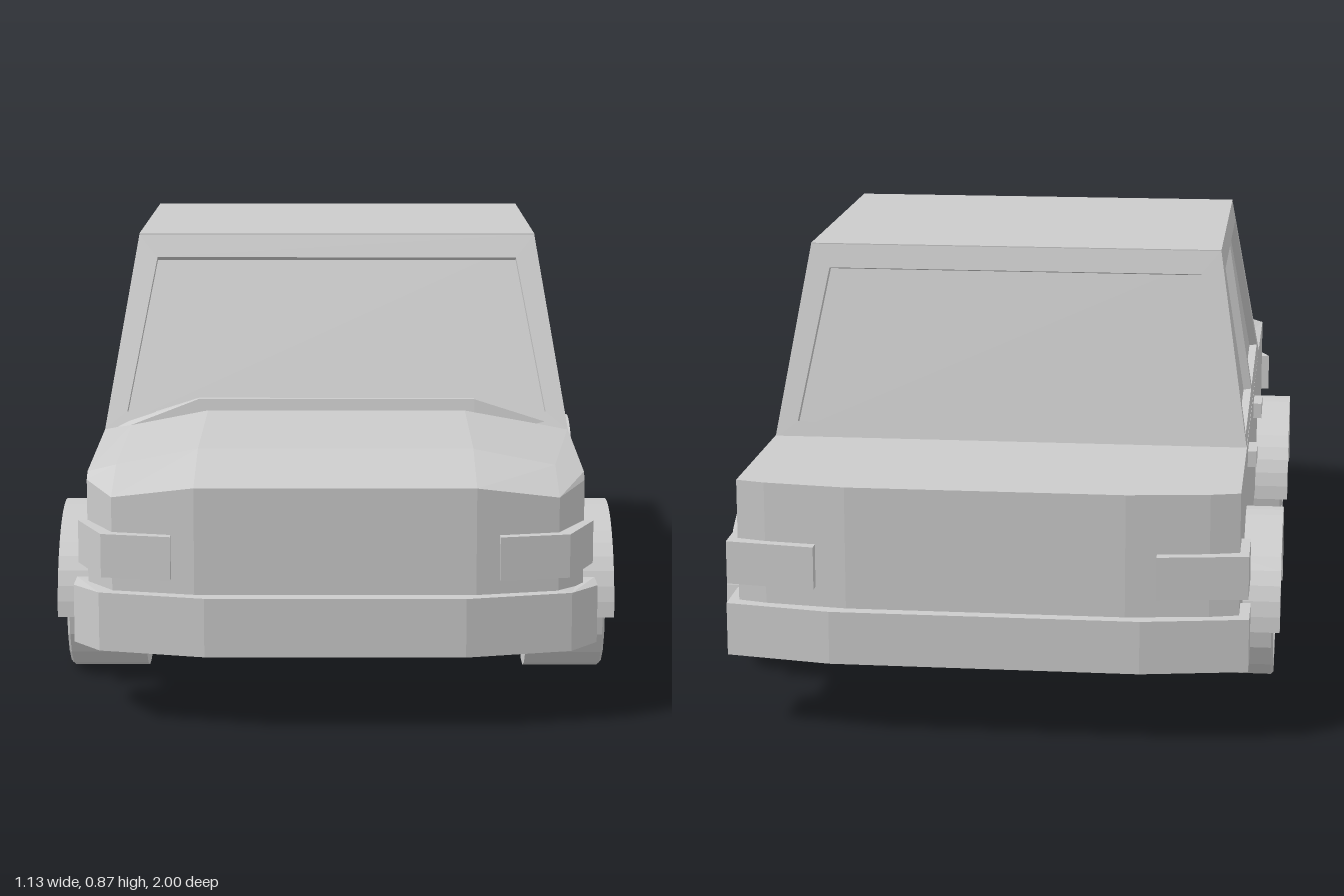
import * as THREE from 'three';

const grey = new THREE.MeshStandardMaterial({ color: 0xcccccc, flatShading: true });
const V = (x, y, z) => new THREE.Vector3(x, y, z);

function add(group, name, geo) {
  const mesh = new THREE.Mesh(geo, grey);
  mesh.name = name;
  group.add(mesh);
}

// Mirrored copy across x = 0, with the winding put right
function mirrorX(geo) {
  const g = geo.index ? geo.toNonIndexed() : geo.clone();
  g.scale(-1, 1, 1);
  const p = g.attributes.position, a = V(), b = V();
  for (let i = 0; i < p.count; i += 3) {
    a.fromBufferAttribute(p, i + 1);
    b.fromBufferAttribute(p, i + 2);
    p.setXYZ(i + 1, b.x, b.y, b.z);
    p.setXYZ(i + 2, a.x, a.y, a.z);
  }
  g.computeVertexNormals();
  return g;
}

function addPair(group, name, geo) {
  add(group, name + 'Left', geo);
  add(group, name + 'Right', mirrorX(geo));
}

// Loft of [z, y] profiles along x; each section is [x, profile], half of it mirrored
function loftX(half) {
  const sections = [...half.map(([x, p]) => [-x, p]).reverse(), ...half];
  const n = half[0][1].length, pos = [], idx = [];
  for (const [x, prof] of sections) for (const [z, y] of prof) pos.push(x, y, z);
  for (let i = 0; i < sections.length - 1; i++) {
    for (let j = 0; j < n; j++) {
      const a = i * n + j, b = i * n + (j + 1) % n;
      idx.push(a, b, a + n, b, b + n, a + n);
    }
  }
  const outline = half[half.length - 1][1].map(([z, y]) => new THREE.Vector2(-z, y));
  const last = (sections.length - 1) * n;
  for (const [a, b, c] of THREE.ShapeUtils.triangulateShape(outline, [])) {
    idx.push(last + a, last + b, last + c, a, c, b);
  }
  const g = new THREE.BufferGeometry();
  g.setAttribute('position', new THREE.Float32BufferAttribute(pos, 3));
  g.setIndex(idx);
  const flat = g.toNonIndexed();
  flat.computeVertexNormals();
  return flat;
}

// Extrude a plan outline of [x, z] points upwards from y0 to y1
function planExtrude(points, y0, y1) {
  const shape = new THREE.Shape(points.map(([x, z]) => new THREE.Vector2(x, -z)));
  const g = new THREE.ExtrudeGeometry(shape, { depth: y1 - y0, bevelEnabled: false });
  return g.rotateX(-Math.PI / 2).translate(0, y0, 0);
}

// Full-width band from the right-to-left mirrored halves of its outer and inner lines
function band(outer, inner, y0, y1) {
  const flip = (pts) => pts.map(([x, z]) => [-x, z]);
  return planExtrude([...flip(outer).reverse(), ...outer, ...inner, ...flip(inner).reverse()], y0, y1);
}

// Four-cornered frame with openings given in 0..1 coordinates across the panel
function panel([bl, br, tr, tl], holes, depth) {
  const path = (Type, pts) => new Type(pts.map(([u, v]) => new THREE.Vector2(u, v)));
  const normal = br.clone().sub(bl).cross(tl.clone().sub(bl)).normalize();
  const shape = path(THREE.Shape, [[0, 0], [1, 0], [1, 1], [0, 1]]);
  shape.holes = holes.map((h) => path(THREE.Path, h));
  const warp = (g, offset) => {
    const p = g.attributes.position;
    for (let i = 0; i < p.count; i++) {
      const u = p.getX(i), v = p.getY(i);
      const q = bl.clone().lerp(br, u).lerp(tl.clone().lerp(tr, u), v);
      q.addScaledVector(normal, (p.getZ(i) - 1) * depth + offset);
      p.setXYZ(i, q.x, q.y, q.z);
    }
    g.computeVertexNormals();
    return g;
  };
  return {
    frame: warp(new THREE.ExtrudeGeometry(shape, { depth: 1, bevelEnabled: false }), 0),
    glass: warp(new THREE.PlaneGeometry(1, 1).translate(0.5, 0.5, 0), depth * 0.15),
  };
}

export function createModel() {
  const car = new THREE.Group();
  car.name = 'car';

  // Lower body: side profiles that pull in towards the rounded nose and tail
  const profile = (nose, noseY, kinkZ, kinkY, cowlY, tail) => [
    [nose, 0.175], [tail, 0.175], [tail, 0.497], [-0.56, 0.49],
    [0.4, cowlY], [kinkZ, kinkY], [nose, noseY],
  ];
  add(car, 'body', loftX([
    [0.27, profile(0.968, 0.473, 0.8, 0.518, 0.525, -0.975)],
    [0.43, profile(0.932, 0.448, 0.81, 0.488, 0.495, -0.955)],
    [0.487, profile(0.82, 0.46, 0.8, 0.473, 0.485, -0.94)],
  ]));

  // Raised lip between bonnet and windscreen
  const lip = (y) => [[0.418, 0.475], [0.36, 0.475], [0.385, y], [0.402, y]];
  add(car, 'cowl', loftX([[0.29, lip(0.548)], [0.484, lip(0.486)]]));

  // Cabin: framed windows on four sides and a flat roof
  const y0 = 0.485, y1 = 0.875, w0 = 0.487, w1 = 0.425;
  const screen = [[0.042, 0.09], [0.958, 0.09], [0.945, 0.88], [0.055, 0.88]];
  const front = panel([V(-w0, y0, 0.41), V(w0, y0, 0.41), V(w1, y1, 0.21), V(-w1, y1, 0.21)], [screen], 0.02);
  const rear = panel([V(w0, y0, -0.56), V(-w0, y0, -0.56), V(-w1, y1, -0.45), V(w1, y1, -0.45)], [screen], 0.02);
  const side = panel([V(w0, y0, 0.41), V(w0, y0, -0.56), V(w1, y1, -0.45), V(w1, y1, 0.21)], [
    [[0.044, 0.064], [0.502, 0.064], [0.486, 0.885], [0.04, 0.885]],
    [[0.534, 0.064], [0.97, 0.064], [0.953, 0.885], [0.52, 0.885]],
  ], 0.02);
  add(car, 'windscreenFrame', front.frame);
  add(car, 'windscreen', front.glass);
  add(car, 'rearWindowFrame', rear.frame);
  add(car, 'rearWindow', rear.glass);
  addPair(car, 'sideFrame', side.frame);
  addPair(car, 'sideWindows', side.glass);
  add(car, 'roof', planExtrude([[-w1, 0.21], [w1, 0.21], [w1, -0.45], [-w1, -0.45]], 0.873, 0.877));

  // Bumpers, the front one dipping slightly at its ends
  const frontBumper = band(
    [[0.25, 1], [0.455, 0.95], [0.515, 0.83], [0.515, 0.76]],
    [[0.475, 0.76], [0.475, 0.81], [0.42, 0.915], [0.25, 0.95]], 0.15, 0.265);
  const p = frontBumper.attributes.position;
  for (let i = 0; i < p.count; i++) {
    if (Math.abs(p.getX(i)) > 0.47) p.setY(i, p.getY(i) - 0.014);
  }
  frontBumper.computeVertexNormals();
  add(car, 'frontBumper', frontBumper);
  add(car, 'rearBumper', band(
    [[0.3, -1], [0.507, -0.965], [0.507, -0.86]],
    [[0.475, -0.86], [0.475, -0.93], [0.3, -0.955]], 0.15, 0.255));

  // Wrap-around lights
  addPair(car, 'headlight', planExtrude([
    [0.315, 0.978], [0.45, 0.95], [0.505, 0.825], [0.47, 0.825], [0.42, 0.92], [0.315, 0.94],
  ], 0.295, 0.38));
  addPair(car, 'tailLight', planExtrude([
    [0.33, -0.99], [0.505, -0.965], [0.505, -0.84], [0.47, -0.84], [0.47, -0.93], [0.33, -0.95],
  ], 0.295, 0.38));

  // Door handles
  for (const [name, z] of [['frontDoorHandle', 0], ['rearDoorHandle', -0.43]]) {
    addPair(car, name, new THREE.BoxGeometry(0.03, 0.033, 0.08).translate(0.49, 0.443, z));
  }

  // Wheels and arches
  const wheelLine = [
    [0, 0.39], [0.147, 0.39], [0.147, 0.545], [0.142, 0.55], [0.113, 0.55],
    [0.108, 0.51], [0.052, 0.51], [0.048, 0.54], [0, 0.54],
  ].map(([r, y]) => new THREE.Vector2(r, y));
  const archShape = new THREE.Shape();
  archShape.absarc(0, 0, 0.2, 0, Math.PI, false);
  archShape.absarc(0, 0, 0.158, Math.PI, 0, true);
  for (const [end, z] of [['front', 0.49], ['rear', -0.52]]) {
    const wheel = new THREE.LatheGeometry(wheelLine, 18).rotateZ(-Math.PI / 2).translate(0, 0.148, z);
    const arch = new THREE.ExtrudeGeometry(archShape, { depth: 0.1, bevelEnabled: false, curveSegments: 10 });
    arch.rotateY(Math.PI / 2).translate(0.463, 0.15, z);
    addPair(car, end + 'Wheel', wheel);
    addPair(car, end + 'WheelArch', arch);
  }
  return car;
}
